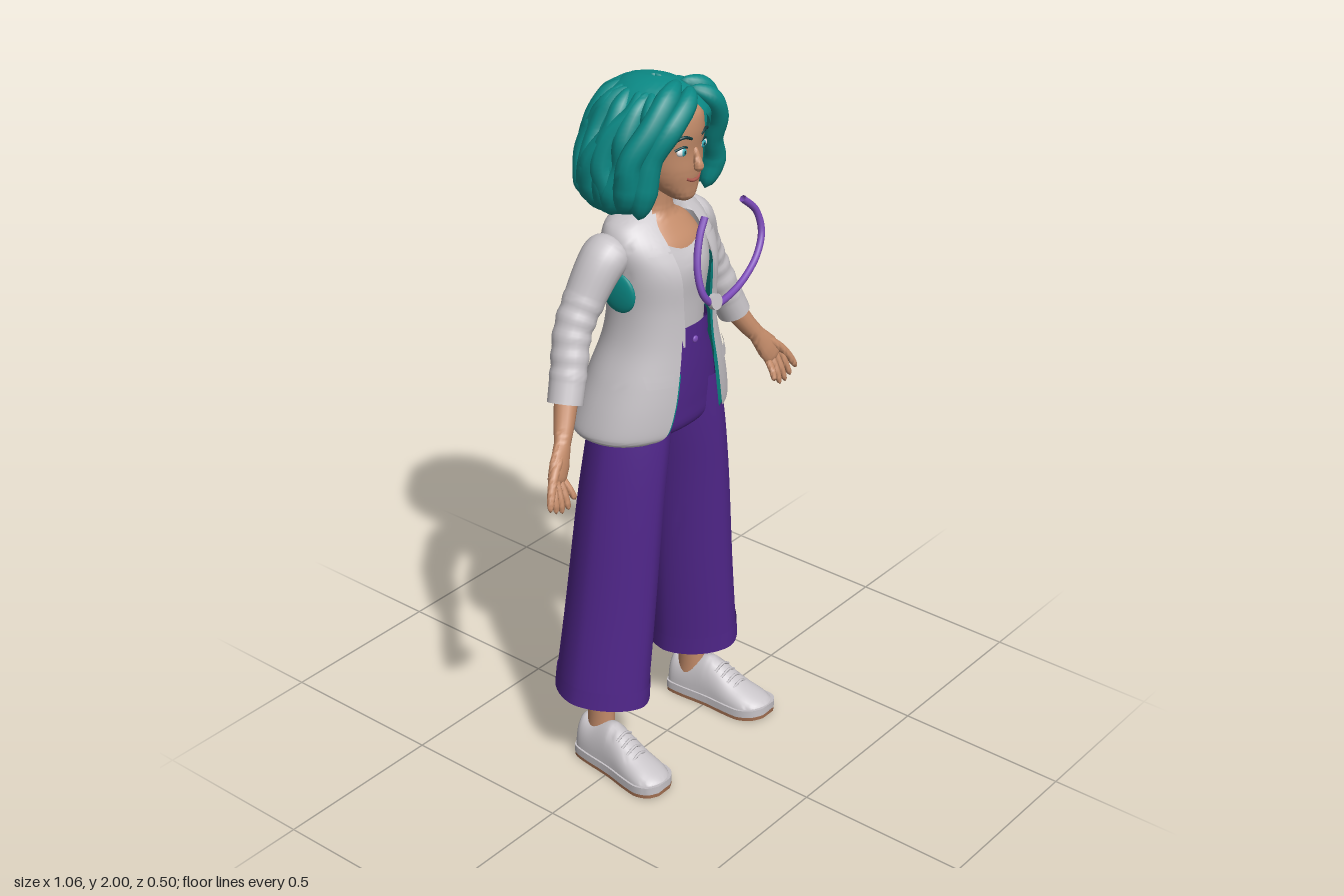
import * as THREE from 'three';
import { toCreasedNormals } from 'three/addons/utils/BufferGeometryUtils.js';

const mat = (name, color) => {
  const m = new THREE.MeshStandardMaterial({ color, side: THREE.DoubleSide });
  m.name = name;
  return m;
};

export function createModel() {
  const M = {
    hair: mat('teal', 0x0b8a86), cloth: mat('paleGrey', 0xc8c4c8), pants: mat('purple', 0x50268a),
    tube: mat('lilac', 0x7c4bb8), skin: mat('skin', 0xc48c6a), sole: mat('tan', 0xa06e50),
    dark: mat('darkTeal', 0x10393c), lips: mat('lips', 0xa9574c), eye: mat('eyeWhite', 0xeeeeee),
    iris: mat('aqua', 0x35a9b5),
  };
  const root = new THREE.Group();
  const add = (name, geo, material) => {
    const m = new THREE.Mesh(geo, material);
    m.name = name;
    root.add(m);
    return m;
  };
  const both = (f) => [-1, 1].forEach(f);

  // surface through a list of point rings
  const skin = (rings, wrap = true, cap = false) => {
    if (cap) {
      const mid = (r) => r.map(() => [0, 1, 2].map((c) => r.reduce((a, p) => a + p[c], 0) / r.length));
      rings = [mid(rings[0]), ...rings, mid(rings[rings.length - 1])];
    }
    const n = rings[0].length, idx = [];
    for (let i = 0; i < rings.length - 1; i++)
      for (let j = 0; j < (wrap ? n : n - 1); j++) {
        const a = i * n + j, b = i * n + ((j + 1) % n);
        idx.push(a, b, b + n, a, b + n, a + n);
      }
    const g = new THREE.BufferGeometry();
    g.setAttribute('position', new THREE.Float32BufferAttribute(rings.flat(2), 3));
    g.setIndex(idx);
    return toCreasedNormals(g, 0.95);
  };

  // smooth resampling of rows [y, halfWidth, frontZ, backZ, openingX, centreX]
  const dense = (rows, steps = 5) => {
    const out = [];
    for (let i = 0; i < rows.length - 1; i++)
      for (let k = 0; k < steps; k++) {
        const u = k / steps, p = [rows[Math.max(0, i - 1)], rows[i], rows[i + 1], rows[Math.min(rows.length - 1, i + 2)]];
        out.push(rows[i].map((_, c) => {
          const [a, b, d, e] = p.map((r) => r[c]);
          return b + 0.5 * u * (d - a + u * (2 * a - 5 * b + 4 * d - e + u * (3 * (b - d) + e - a)));
        }));
      }
    return [...out, rows[rows.length - 1]];
  };
  const rowAt = (rows, y) => {
    const i = Math.max(1, rows.findIndex((r) => r[0] >= y)), a = rows[i - 1], b = rows[i];
    return a.map((v, c) => v + ((b[c] - v) * (y - a[0])) / (b[0] - a[0]));
  };

  // horizontal ring, open at the front when the row has an opening
  const ring = (row, { e = 2.2, n = 48, off = 0, open = false, wave = null, s = 1 } = {}) => {
    const [y, rx, f, b, o = 0, cx = 0] = row;
    const t0 = open ? Math.asin(Math.min(1, Math.pow(Math.max(0, o) / rx, e / 2))) : 0;
    const pw = (v) => Math.sign(v) * Math.pow(Math.abs(v), 2 / e);
    return Array.from({ length: open ? n + 1 : n }, (_, j) => {
      const t = t0 + ((2 * Math.PI - 2 * t0) * j) / n, w = wave ? wave(t, y) : 1;
      return [s * cx + (rx + off) * w * pw(Math.sin(t)), y, (f + b) / 2 + ((f - b) / 2 + off) * w * pw(Math.cos(t))];
    });
  };
  const loft = (rows, o = {}) => skin(dense(rows).map((r) => ring(r, o)), !o.open, o.cap);

  // limb along a curve, points [x, y, z, radiusA, radiusB]
  const limb = (pts, { s = 1, n = 14, steps = 6, round = 0, roundStart = 0, wrinkle = 0 } = {}) => {
    const curve = new THREE.CatmullRomCurve3(pts.map((p) => new THREE.Vector3(s * p[0], p[1], p[2])));
    const N = (pts.length - 1) * steps, rings = [];
    for (let i = 0; i <= N; i++) {
      const u = i / N, q = Math.min(pts.length - 2, Math.floor(i / steps)), k = i / steps - q;
      const c = curve.getPoint(u), T = curve.getTangent(u);
      const S = new THREE.Vector3().crossVectors(T, new THREE.Vector3(0, 0, 1)).normalize();
      const B = new THREE.Vector3().crossVectors(T, S);
      let f = 1;
      if (round && u > 1 - round) f *= Math.sqrt(Math.max(0.003, 1 - ((u - 1 + round) / round) ** 2));
      if (roundStart && u < roundStart) f *= Math.sqrt(Math.max(0.003, 1 - (1 - u / roundStart) ** 2));
      if (wrinkle && u > 0.4 && u < 0.88) f *= 1 + wrinkle * Math.sin(u * 62);
      const ra = f * THREE.MathUtils.lerp(pts[q][3], pts[q + 1][3], k);
      const rb = f * THREE.MathUtils.lerp(pts[q][4] ?? pts[q][3], pts[q + 1][4] ?? pts[q + 1][3], k);
      rings.push(Array.from({ length: n }, (_, j) => {
        const a = (j / n) * 2 * Math.PI;
        return c.clone().addScaledVector(S, ra * Math.cos(a)).addScaledVector(B, rb * Math.sin(a)).toArray();
      }));
    }
    return skin(rings, true, true);
  };
  const ball = (name, m, x, y, z, sx, sy, sz) => {
    const b = add(name, new THREE.SphereGeometry(1, 20, 14), m);
    b.position.set(x, y, z);
    b.scale.set(sx, sy, sz);
    return b;
  };
  const tube = (name, m, pts, r, seg = 16) =>
    add(name, new THREE.TubeGeometry(new THREE.CatmullRomCurve3(pts.map((p) => new THREE.Vector3(...p))), seg, r, 10), m);

  // neck, chest and shirt
  add('neckAndChest', loft([[1.48, .12, .075, -.12], [1.55, .125, .064, -.12], [1.6, .1, .03, -.11], [1.63, .055, .008, -.09],
    [1.67, .042, .004, -.08], [1.76, .042, .01, -.08]]), M.skin);
  const shirt = dense([[1.3, .118, .08, -.12], [1.4, .125, .085, -.13], [1.48, .135, .092, -.13], [1.54, .135, .083, -.13], [1.585, .13, .066, -.12]]);
  add('shirt', skin(shirt.map((r) => ring(r).map(([x, y, z]) =>
    [x, z > 0 ? y - 0.035 * Math.pow(Math.max(0, 1 - (x / .1) ** 2), 2) * Math.max(0, (y - 1.5) / .085) : y, z]))), M.cloth);

  // open jacket with lining, lapels and pocket flaps
  const J = dense([[1.035, .24, .1, -.225, .15], [1.055, .245, .112, -.232, .118], [1.12, .228, .117, -.215, .097],
    [1.2, .2, .117, -.19, .082], [1.3, .163, .112, -.16, .066], [1.4, .15, .108, -.15, .066], [1.5, .158, .105, -.155, .072],
    [1.57, .168, .07, -.15, .077], [1.62, .148, .028, -.135, .075], [1.65, .09, .0, -.11, .052]], 6);
  add('jacket', skin(J.map((r) => ring(r, { open: true })), false), M.cloth);
  add('jacketLining', skin(J.filter((r) => r[0] < 1.5).map((r) =>
    ring([r[0], r[1], r[2], r[3], r[4] - (r[0] < 1.22 ? .008 : 0)], { open: true, off: -.006 })), false), M.hair);
  const patch = (s, y0, y1, xa, xb, off) => skin(Array.from({ length: 15 }, (_, i) => {
    const y = y0 + ((y1 - y0) * i) / 14, [, rx, f, b, o] = rowAt(J, y);
    return Array.from({ length: 7 }, (_, j) => {
      const x = THREE.MathUtils.lerp(xa(y, o), xb(y, o), j / 6);
      return [s * x, y, (f + b) / 2 + ((f - b) / 2) * Math.pow(Math.max(0, 1 - (x / rx) ** 2.2), 1 / 2.2) + off];
    });
  }), false);
  both((s) => {
    add('lapel', patch(s, 1.3, 1.56, (y, o) => o - .004, (y, o) => o + .002 + .055 * ((y - 1.3) / .26), .008), M.cloth);
    add('collar', patch(s, 1.565, 1.645, (y, o) => o - .004, (y, o) => o + .04 - .2 * (y - 1.565), .008), M.cloth);
    add('pocketFlap', patch(s, 1.2, 1.235, () => .1, () => .165, .008), M.cloth);
    ball('armholeLining', M.hair, s * .16, 1.45, -.03, .013, .055, .055);
    // sleeves, forearms and hands
    add('sleeve', limb([[.125, 1.575, -.06, .055, .065], [.18, 1.54, -.065, .058, .065], [.235, 1.45, -.08, .052, .056],
      [.283, 1.37, -.082, .048, .052], [.32, 1.28, -.065, .046, .05], [.354, 1.2, -.05, .045, .048]],
      { s, steps: 10, n: 20, roundStart: .15, wrinkle: .035 }), M.cloth);
    add('forearmAndPalm', limb([[.34, 1.23, -.055, .033], [.385, 1.155, -.028, .027], [.41, 1.12, -.012, .025, .02],
      [.44, 1.075, .003, .037, .018], [.468, 1.03, .014, .034, .014]], { s, round: .12 }), M.skin);
    const tips = [[.5, .972], [.477, .962], [.452, .963], [.426, .982]];
    tips.forEach(([x, y], i) => {
      const k = (1.5 - i) * .017, bx = .458 + .85 * k, by = 1.047 + .5 * k;
      add('finger', limb([[bx, by, .01, .0105], [(bx + x) / 2, (by + y) / 2, .03, .0095], [x, y, .043, .008]], { s, n: 10, round: .2 }), M.skin);
    });
    add('thumb', limb([[.435, 1.1, .0, .014], [.482, 1.06, .02, .013], [.51, 1.02, .035, .011], [.525, .988, .045, .008]], { s, n: 10, round: .2 }), M.skin);

    // wide trouser legs with slanted hem, and ankles
    const leg = dense([[.225, .125, .074, -.218, 0, .2], [.275, .124, .074, -.215, 0, .196], [.5, .119, .078, -.2, 0, .172],
      [.8, .113, .084, -.18, 0, .144], [1.0, .108, .087, -.165, 0, .118], [1.15, .095, .083, -.16, 0, .095]]);
    add('trouserLeg', skin(leg.map((r) => ring(r, { e: 1.7, s }).map(([x, y, z]) =>
      [x, y + .1 * (Math.abs(x) - r[5]) * (1 - Math.min(1, (y - .225) / .4)), z]))), M.pants);
    const hem = [leg[0], rowAt(leg, .28)];
    add('trouserCuff', skin(hem.map((r) => ring(r, { e: 1.7, s, off: .003 }).map(([x, y, z]) => [x, y + .1 * (Math.abs(x) - r[5]), z]))), M.pants);
    add('ankle', loft([[.07, .036, -.03, -.12, 0, .206], [.13, .033, -.032, -.115, 0, .204], [.25, .036, -.03, -.115, 0, .2],
      [.5, .05, -.01, -.13, 0, .175]], { e: 2, n: 20, s }), M.skin);

    // sneakers, sections from heel to toe [z, halfWidth, top]
    const shoe = dense([[-.14, .026, .1], [-.125, .044, .127], [-.08, .05, .122], [-.02, .051, .142], [.02, .053, .128],
      [.08, .06, .09], [.13, .061, .068], [.165, .047, .052], [.183, .02, .038]], 4);
    const cx = (z) => s * (.207 + (z + .14) * .1);
    add('shoeUpper', skin(shoe.map(([z, w, t]) => Array.from({ length: 17 }, (_, k) => {
      const a = (k / 16) * Math.PI;
      return [cx(z) + w * Math.cos(a), .022 + (t - .022) * Math.pow(Math.sin(a), .8), z];
    })), true, true), M.cloth);
    const slab = (lo, hi, g) => skin(shoe.map(([z, w]) => [[1, lo], [1, hi], [-1, hi], [-1, lo]].map(([d, y]) =>
      [cx(z) + d * (w + g), y + Math.max(0, z - .12) * .12, z * 1.01])), true, true);
    add('midsole', slab(.011, .034, .005), M.cloth);
    add('outsole', slab(0, .012, .004), M.sole);
    for (let i = 0; i < 4; i++) {
      const z = .025 + i * .02, y = .129 - i * .0125;
      tube('lace', M.cloth, [[cx(z) - .03, y - .016, z], [cx(z), y, z + .004], [cx(z) + .03, y - .016, z]], .004, 8);
    }
  });

  // trouser hips, waistband and button
  const hips = [[1.0, .05, .0, -.08], [1.03, .185, .07, -.16], [1.1, .195, .084, -.175], [1.2, .168, .09, -.165], [1.29, .125, .09, -.135], [1.335, .122, .088, -.13]];
  add('trouserHips', loft(hips), M.pants);
  add('waistband', skin([[1.29, .125, .09, -.135], [1.335, .122, .088, -.13]].map((r) => ring(r, { off: .004 }))), M.pants);
  ball('waistButton', M.tube, 0, 1.295, .095, .01, .01, .005);

  // head and face
  add('head', loft([[1.683, .016, .07, .03], [1.695, .036, .082, .0], [1.73, .066, .087, -.06], [1.77, .084, .092, -.1],
    [1.82, .092, .092, -.12], [1.88, .092, .098, -.13], [1.93, .082, .085, -.12], [1.965, .04, .03, -.08]], { e: 2.1, cap: true }), M.skin);
  add('nose', limb([[0, 1.835, .088, .007, .008], [0, 1.805, .096, .009, .01], [0, 1.783, .103, .014, .013], [0, 1.772, .098, .012, .008]],
    { round: .15, roundStart: .2 }), M.skin);
  tube('mouth', M.lips, [[-.026, 1.752, .083], [-.012, 1.745, .089], [0, 1.744, .091], [.012, 1.745, .089], [.026, 1.752, .083]], .0045);
  both((s) => {
    ball('eyeWhite', M.eye, s * .04, 1.828, .08, .019, .0125, .009);
    ball('iris', M.iris, s * .039, 1.828, .0855, .0095, .0105, .005);
    ball('pupil', M.dark, s * .039, 1.828, .089, .0045, .005, .002);
    tube('lashes', M.dark, [[s * .02, 1.833, .086], [s * .038, 1.842, .087], [s * .062, 1.835, .075]], .003);
    tube('eyebrow', M.dark, [[s * .018, 1.86, .094], [s * .042, 1.869, .09], [s * .068, 1.86, .075]], .004);
    ball('ear', M.skin, s * .092, 1.805, -.005, .012, .03, .02);
    ball('earring', M.cloth, s * .093, 1.765, .012, .008, .012, .008);
  });

  // hair volume, open around the face
  const H = dense([[1.66, .05, -.06, -.11, .0], [1.645, .12, -.02, -.17, .08], [1.67, .162, .03, -.212, .092], [1.72, .178, .052, -.228, .093],
    [1.78, .177, .064, -.232, .093], [1.83, .165, .08, -.226, .09], [1.88, .147, .1, -.21, .07], [1.92, .125, .106, -.19, .025],
    [1.96, .09, .075, -.155, 0], [1.985, .05, .03, -.11, 0], [1.994, .008, -.02, -.05, 0]]);
  const wave = (t, y) => 1 + .02 * Math.sin(11 * t + 14 * y) * Math.min(1, (2 - y) * 6);
  add('hairVolume', skin(H.map((r) => ring(r, { e: 2, n: 72, open: true, wave })), false), M.hair);
  const upper = H.filter((r, i) => i >= 10);

  // wavy locks around the sides and back
  for (let i = 0; i < 18; i++) {
    const low = 1.662 + .016 * Math.sin(i * 2.7);
    const pts = [1.972, 1.925, 1.86, 1.79, 1.72, low].map((y, j) => {
      const [, rx, f, b] = rowAt(upper, Math.max(y, upper[0][0] + .001));
      const t = 1 + (4.28 * i) / 17 + .13 * Math.sin(j * 1.9 + i * 2.1), k = .87 + .03 * Math.sin(j * 2.3 + i);
      return [k * rx * Math.sin(t), y, (f + b) / 2 + k * ((f - b) / 2) * Math.cos(t), [.02, .03, .035, .037, .036, .022][j]];
    });
    add('hairLock', limb(pts, { n: 10, round: .14, roundStart: .2 }), M.hair);
  }
  // front locks swept from the parting
  const sweeps = [
    [[.03, 1.972, .05, .022], [.075, 1.94, .082, .026], [.112, 1.88, .075, .028], [.125, 1.81, .05, .026], [.152, 1.74, .03, .034], [.13, 1.66, .02, .024]],
    [[.03, 1.985, .02, .022], [.085, 1.955, .045, .03], [.125, 1.89, .04, .032], [.155, 1.81, .015, .034], [.158, 1.73, .0, .036], [.15, 1.66, -.02, .024]],
    [[.03, 1.972, .05, .022], [-.03, 1.952, .087, .026], [-.09, 1.9, .085, .03], [-.125, 1.83, .055, .028], [-.135, 1.74, .035, .036], [-.14, 1.66, .02, .024]],
    [[.02, 1.985, .02, .022], [-.06, 1.965, .05, .03], [-.12, 1.9, .045, .032], [-.165, 1.82, .015, .032], [-.158, 1.74, .0, .038], [-.155, 1.67, -.02, .024]],
  ];
  sweeps.forEach((p) => add('frontHairLock', limb(p, { n: 12, round: .14, roundStart: .2 }), M.hair));

  // hanging tube with chest disc
  tube('stethoscopeTube', M.tube, [[-.075, 1.69, .182], [-.105, 1.65, .19], [-.134, 1.58, .206], [-.134, 1.51, .226], [-.1, 1.475, .235],
    [-.03, 1.477, .232], [.04, 1.5, .226], [.1, 1.54, .217], [.132, 1.59, .205], [.125, 1.645, .192], [.08, 1.69, .182]], .0095, 80);
  const disc = add('chestDisc', new THREE.CylinderGeometry(.021, .021, .014, 24), M.cloth);
  disc.position.set(-.1, 1.483, .237);
  disc.rotation.x = Math.PI / 2 - .2;
  return root;
}
